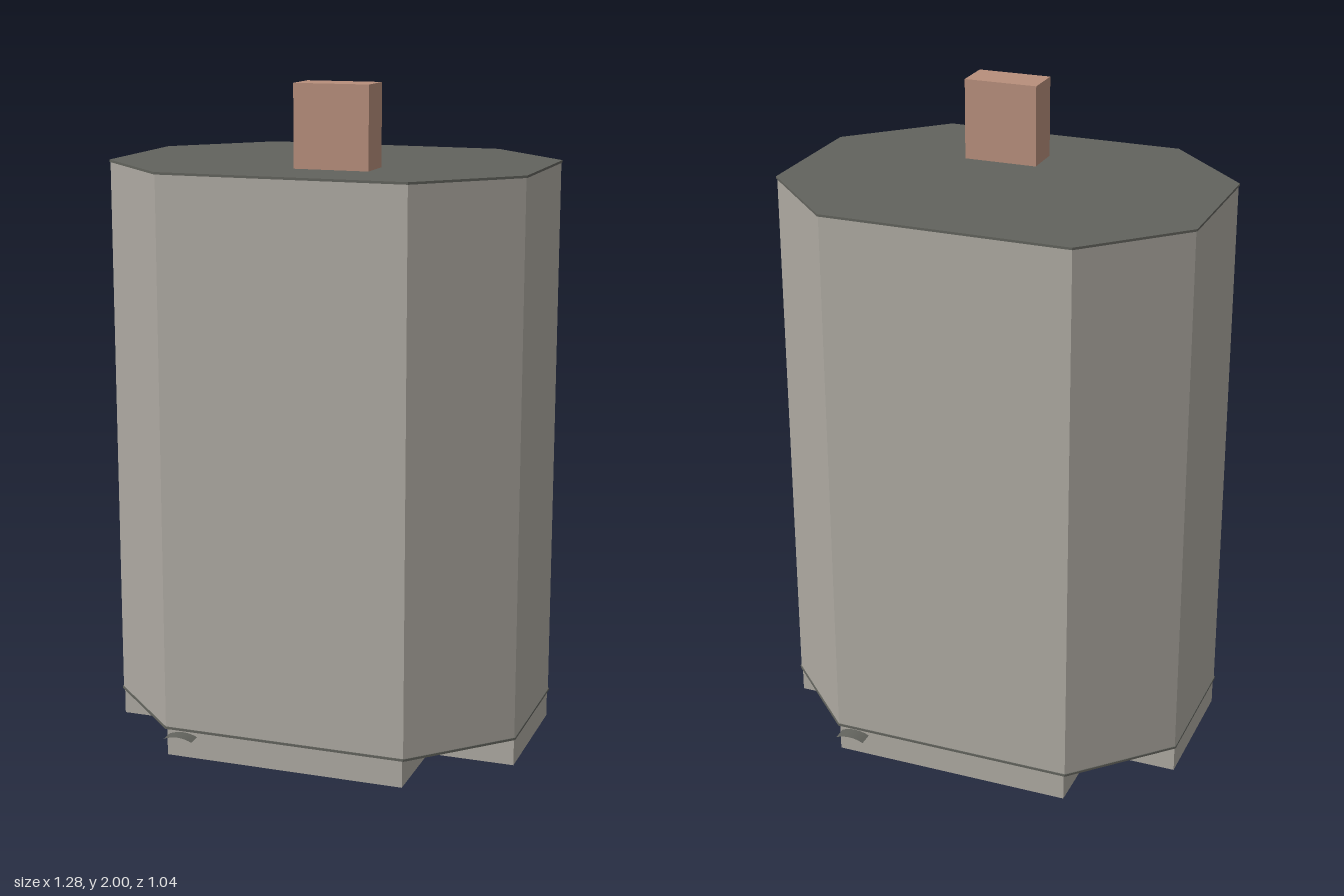
import * as THREE from 'three';

const mat = (name, color, side = THREE.FrontSide) => {
  const m = new THREE.MeshStandardMaterial({ color, side });
  m.name = name;
  return m;
};

// Plan outlines are shapes in (x, -z), raised along y
const prism = (points, y0, y1) => {
  const shape = new THREE.Shape(points.map(([x, z]) => new THREE.Vector2(x, -z)));
  const g = new THREE.ExtrudeGeometry(shape, { depth: y1 - y0, bevelEnabled: false });
  return g.rotateX(-Math.PI / 2).translate(0, y0, 0);
};

const octagon = (w, d, cx, cz) => [
  [cx, d], [w, cz], [w, -cz], [cx, -d], [-cx, -d], [-w, -cz], [-w, cz], [-cx, d],
];

export function createModel() {
  const model = new THREE.Group();
  const wall = mat('wall grey', 0xaeaaa2);
  const skirtWall = mat('wall grey', 0xaeaaa2, THREE.DoubleSide);
  const slate = mat('dark slate', 0x62635d);
  const canopyMat = mat('dark slate', 0x62635d, THREE.DoubleSide);
  const brick = mat('brick', 0xb88f7c);
  const add = (name, geometry, material) => {
    const mesh = new THREE.Mesh(geometry, material);
    mesh.name = name;
    model.add(mesh);
    return mesh;
  };

  // Octagonal tower body between two thin slabs
  add('body', prism(octagon(0.637, 0.477, 0.374, 0.214), 0.09, 1.75), wall);
  add('roof', prism(octagon(0.64, 0.48, 0.375, 0.215), 1.75, 1.757), slate);
  add('floorSlab', prism(octagon(0.64, 0.48, 0.375, 0.215), 0.083, 0.09), slate);

  // Open cross-shaped base wall
  const cross = [
    [0.37, 0.475], [0.37, 0.21], [0.635, 0.21], [0.635, -0.21], [0.37, -0.21], [0.37, -0.475],
    [-0.37, -0.475], [-0.37, -0.21], [-0.635, -0.21], [-0.635, 0.21], [-0.37, 0.21], [-0.37, 0.475],
  ];
  cross.forEach(([x, z], i) => {
    const [x2, z2] = cross[(i + 1) % cross.length];
    const side = new THREE.PlaneGeometry(Math.hypot(x2 - x, z2 - z), 0.083);
    const mesh = add('baseWall', side, skirtWall);
    mesh.position.set((x + x2) / 2, 0.0415, (z + z2) / 2);
    mesh.rotation.y = Math.atan2(-(z2 - z), x2 - x);
  });

  // Small arched door canopies, front and back
  for (const s of [1, -1]) {
    const canopy = new THREE.PlaneGeometry(0.09, 0.045, 8, 1).rotateX(-Math.PI / 2);
    const p = canopy.attributes.position;
    for (let i = 0; i < p.count; i++) p.setY(i, 0.078 - 0.01 * (p.getX(i) / 0.045) ** 2);
    canopy.translate(-0.318 * s, 0, 0.4975 * s);
    canopy.computeVertexNormals();
    add(s > 0 ? 'frontCanopy' : 'backCanopy', canopy, canopyMat);
  }

  // Chimney
  add('chimney', new THREE.BoxGeometry(0.226, 0.245, 0.118).translate(0.08, 1.8775, 0.21), brick);
  return model;
}
